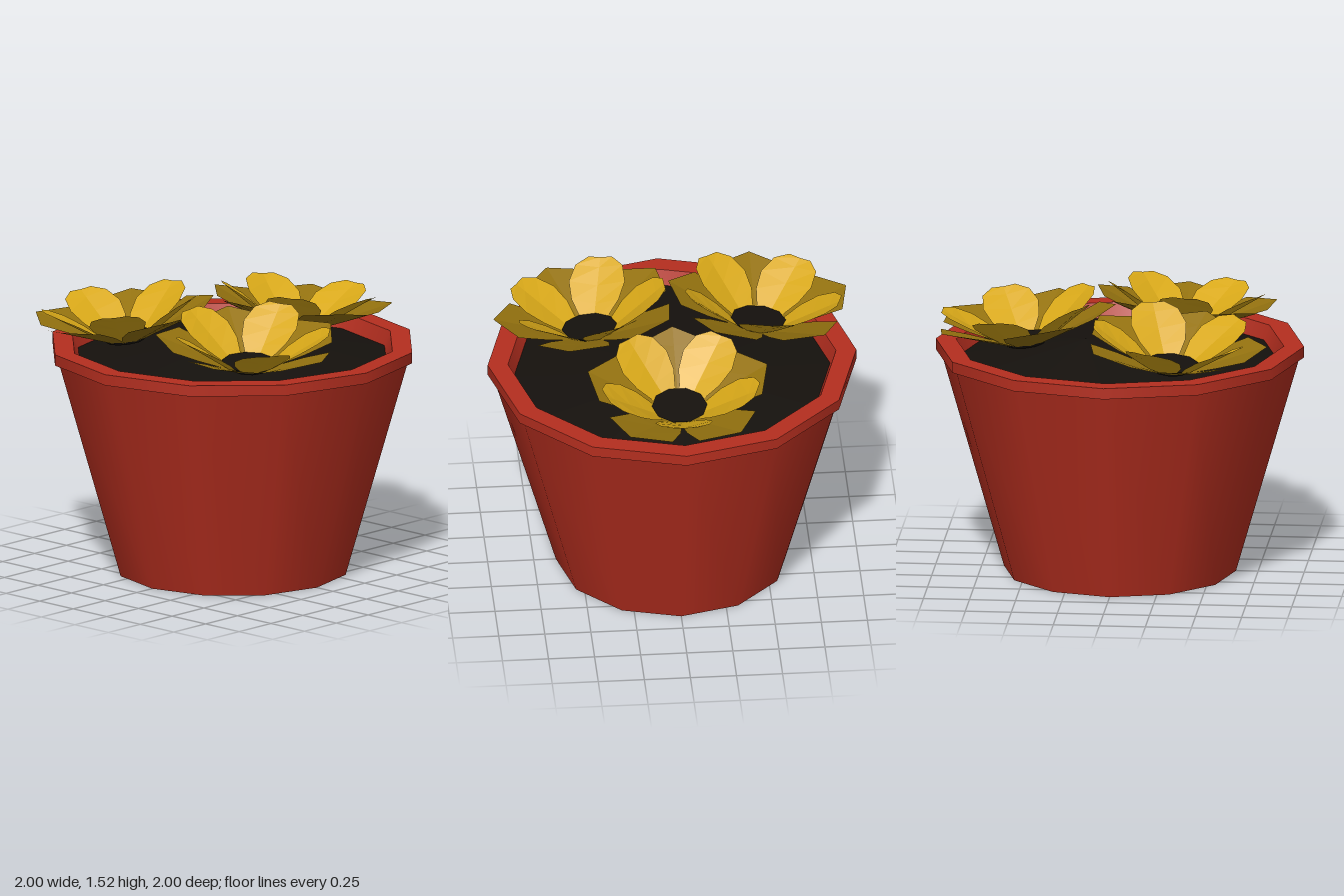
import * as THREE from 'three';
import { mergeGeometries } from 'three/addons/utils/BufferGeometryUtils.js';

const SIDES = 12;
const mat = (color, extra = {}) => new THREE.MeshStandardMaterial({ color, ...extra });
const terracotta = mat(0xb42e1f);
const earth = mat(0x15110d, { flatShading: true });
const innerYellow = mat(0xd8a818, { flatShading: true, side: THREE.DoubleSide });
const outerYellow = mat(0x94720f, { flatShading: true, side: THREE.DoubleSide });

function add(parent, name, geometry, material) {
  const mesh = new THREE.Mesh(geometry, material);
  mesh.name = name;
  parent.add(mesh);
  return mesh;
}

// Turned shape: smooth around, with a sharp edge at each profile point
function turned(profile) {
  const bands = [];
  for (let i = 0; i < profile.length - 1; i++) {
    const pts = [profile[i], profile[i + 1]].map(([r, y]) => new THREE.Vector2(r, y));
    bands.push(new THREE.LatheGeometry(pts, SIDES));
  }
  return mergeGeometries(bands);
}

// Petal from rows of [distance from flower centre, half width], bent onto a bowl
function petalGeometry(rows, height) {
  const geo = new THREE.PlaneGeometry(1, 1, 2, rows.length - 1);
  const pos = geo.attributes.position;
  for (let i = 0; i < pos.count; i++) {
    const [r, w] = rows[Math.floor(i / 3)];
    const z = (1 - (i % 3)) * w;
    pos.setXYZ(i, r, height(Math.hypot(r, z)), z);
  }
  geo.computeVertexNormals();
  return geo;
}

const innerPetal = petalGeometry(
  [[0.13, 0.08], [0.2, 0.13], [0.29, 0.155], [0.38, 0.13], [0.43, 0.065]],
  (r) => 0.02 + 0.7 * (r - 0.13));
const outerPetal = petalGeometry(
  [[0.08, 0.07], [0.25, 0.16], [0.4, 0.2], [0.51, 0.004]],
  (r) => 0.4 * (r - 0.08));

function flower(x, z, spin) {
  const group = new THREE.Group();
  group.name = 'flower';
  group.position.set(x, 1.24, z);

  // Lean outward from the middle of the pot
  const d = Math.hypot(x, z);
  group.quaternion.setFromAxisAngle(new THREE.Vector3(z / d, 0, -x / d), 0.12);

  const centre = add(group, 'flowerCentre', new THREE.CylinderGeometry(0.15, 0.1, 0.04, 10), earth);
  centre.position.y = 0.02;

  for (let i = 0; i < 5; i++) {
    const a = spin + (i * Math.PI * 2) / 5;
    add(group, 'innerPetal', innerPetal, innerYellow).rotation.y = -a;
    add(group, 'outerPetal', outerPetal, outerYellow).rotation.y = -a - Math.PI / 5;
  }
  return group;
}

export function createModel() {
  const model = new THREE.Group();
  model.name = 'flowerPot';

  // Pot: base, tapered wall, rim and inner lip
  add(model, 'pot', turned([
    [0, 0], [0.63, 0], [0.975, 1.2], [1, 1.2], [1, 1.26], [0.89, 1.26], [0.85, 1.16],
  ]), terracotta);

  // Soil: a low mound with its top off centre
  const soil = new THREE.ConeGeometry(0.86, 0.11, SIDES, 1, true);
  const pos = soil.attributes.position;
  for (let i = 0; i < pos.count; i++) {
    if (pos.getY(i) > 0) pos.setXYZ(i, 0.18, 0.055, -0.05);
  }
  soil.translate(0, 1.235, 0);
  soil.computeVertexNormals();
  add(model, 'soil', soil, earth);

  // Three flowers
  model.add(
    flower(0.51, 0, 0),
    flower(-0.32, -0.49, -0.04),
    flower(-0.31, 0.42, 0.89),
  );
  return model;
}
